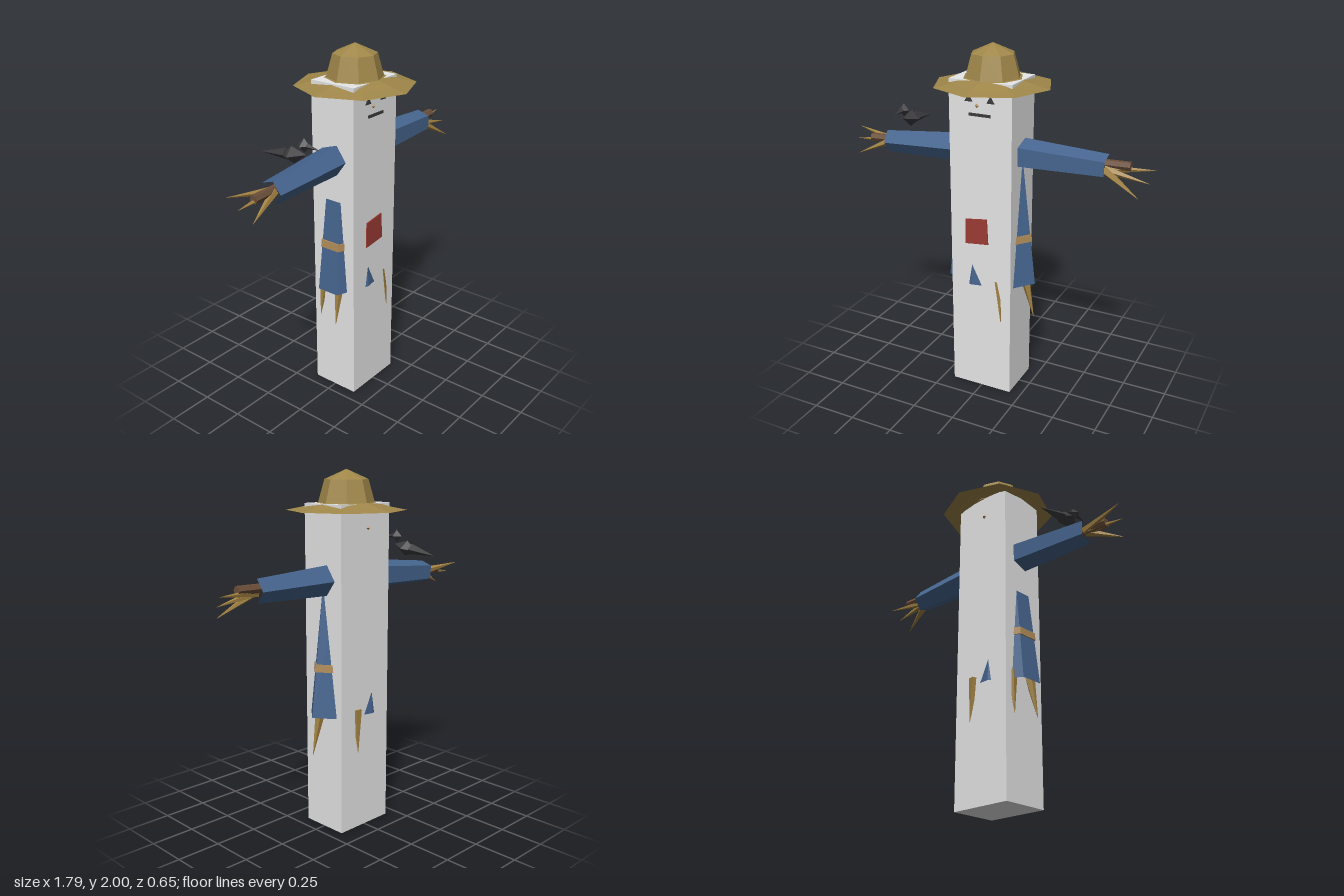
import * as THREE from 'three';

const mat = (name, color, side = THREE.FrontSide) => {
  const m = new THREE.MeshStandardMaterial({ color, side, flatShading: true });
  m.name = name;
  return m;
};

export function createModel() {
  const model = new THREE.Group();
  model.name = 'scarecrow';
  const white = mat('white', 0xffffff);
  const blue = mat('coatBlue', 0x46658f);
  const hatBrown = mat('hatBrown', 0xa0874a, THREE.DoubleSide);
  const straw = mat('straw', 0xa18142);
  const wood = mat('wood', 0x6b4f3a);
  const rope = mat('rope', 0xae8a58);
  const red = mat('patchRed', 0x9c3c34);
  const black = mat('black', 0x3c3c3f);
  const V = (x, y, z) => new THREE.Vector3(x, y, z);

  const add = (name, geo, material, x = 0, y = 0, z = 0) => {
    const m = new THREE.Mesh(geo, material);
    m.name = name;
    m.position.set(x, y, z);
    model.add(m);
    return m;
  };

  // tapered rod from a to b; spin turns its corners about the axis
  const rod = (name, a, b, ra, rb, sides, material, open = false, spin = 0) => {
    const geo = new THREE.CylinderGeometry(rb, ra, a.distanceTo(b), sides, 1, open);
    geo.rotateY(spin);
    const m = add(name, geo, material);
    m.position.copy(a).add(b).multiplyScalar(0.5);
    m.quaternion.setFromUnitVectors(V(0, 1, 0), b.clone().sub(a).normalize());
    return m;
  };

  // thin plate facing front
  const plate = (name, points, z, material) => {
    const shape = new THREE.Shape(points.map(p => new THREE.Vector2(...p)));
    return add(name, new THREE.ExtrudeGeometry(shape, { depth: 0.006, bevelEnabled: false }), material, 0, 0, z);
  };

  // tall pillar block
  add('block', new THREE.BoxGeometry(0.365, 1.823, 0.278), white, -0.002, 0.9115, 0);

  // hat: eight-sided crown and drooping brim
  const lathe = pts => new THREE.LatheGeometry(pts.map(p => new THREE.Vector2(...p)), 8);
  add('hatBrim', lathe([[0.325, 1.785], [0.24, 1.802], [0.153, 1.826]]), hatBrown, 0.005);
  add('hatCrown', lathe([[0.153, 1.822], [0.118, 1.947], [0, 2]]), hatBrown, 0.004);

  // seven-sided flattened coat with a slanting hem, and its rope belt
  const ring = (name, top, bottom, y0, y1, material, open) => {
    const geo = new THREE.CylinderGeometry(top, bottom, y1 - y0, 7, 1, open);
    geo.rotateY(Math.PI / 2).translate(0, (y0 + y1) / 2, 0).scale(1, 1, 0.5626);
    const p = geo.attributes.position;
    for (let i = 0; i < p.count; i++) p.setY(i, p.getY(i) + 0.04 * p.getX(i));
    geo.computeVertexNormals();
    return add(name, geo, material);
  };
  ring('coat', 0.168, 0.268, 0.66, 1.5, blue, true);
  ring('belt', 0.241, 0.246, 0.916, 0.958, rope, false);

  // straw hanging below the hem
  for (const [x, z, inner] of [
    [0.265, 0, 0.78], [0.123, 0.143, 0.8], [-0.235, 0.05, 0.8],
    [-0.2, -0.09, 0.85], [0.063, -0.152, 0.86],
  ]) rod('hemStraw', V(x * inner, 0.7, z * inner), V(x, 0.455, z), 0.03, 0.001, 5, straw);

  // crossbar and sleeves
  rod('crossbar', V(-0.775, 1.389, 0.002), V(0.77, 1.438, -0.022), 0.025, 0.025, 6, wood);
  rod('leftSleeve', V(0.1, 1.424, -0.002), V(0.65, 1.422, -0.008), 0.09, 0.066, 5, blue, true, Math.PI);
  rod('rightSleeve', V(-0.1, 1.424, 0), V(-0.655, 1.387, 0), 0.09, 0.066, 5, blue, true);

  // straw hands
  for (const s of [1, -1]) {
    const y = s > 0 ? 1.41 : 1.39;
    for (const [tx, ty, tz] of [[0.893, 1.425, -0.055], [0.875, 1.368, 0], [0.838, 1.3, 0.055]])
      rod('handStraw', V(s * 0.64, y, tz * 0.15), V(s * tx, ty, tz), 0.024, 0.001, 5, straw);
  }

  // face
  for (const x of [-0.067, 0.06])
    plate('eye', [[x - 0.022, 1.715], [x + 0.022, 1.715], [x, 1.752]], 0.139, black);
  plate('mouth', [[-0.065, 1.64], [0.06, 1.64], [0.06, 1.655], [-0.065, 1.655]], 0.139, black);
  for (const z of [0.135, -0.135])
    add('sackKnob', new THREE.OctahedronGeometry(0.016), rope, -0.02, 1.695, z);

  // patch on the chest
  plate('patch', [[-0.09, 0.912], [0.05, 0.928], [0.042, 1.076], [-0.087, 1.058]], 0.149, red);

  // bird perched above the right arm
  const body = add('birdBody', new THREE.OctahedronGeometry(1, 0), black, -0.5, 1.538, 0.01);
  body.scale.set(0.05, 0.045, 0.09);
  body.rotation.x = -0.2;
  const head = add('birdHead', new THREE.OctahedronGeometry(1, 0), black, -0.5, 1.603, 0.085);
  head.scale.set(0.035, 0.037, 0.04);
  rod('birdBeak', V(-0.5, 1.605, 0.1), V(-0.5, 1.597, 0.178), 0.016, 0.001, 4, black);
  rod('birdTail', V(-0.5, 1.535, -0.03), V(-0.5, 1.51, -0.2), 0.032, 0.001, 4, black);

  return model;
}
